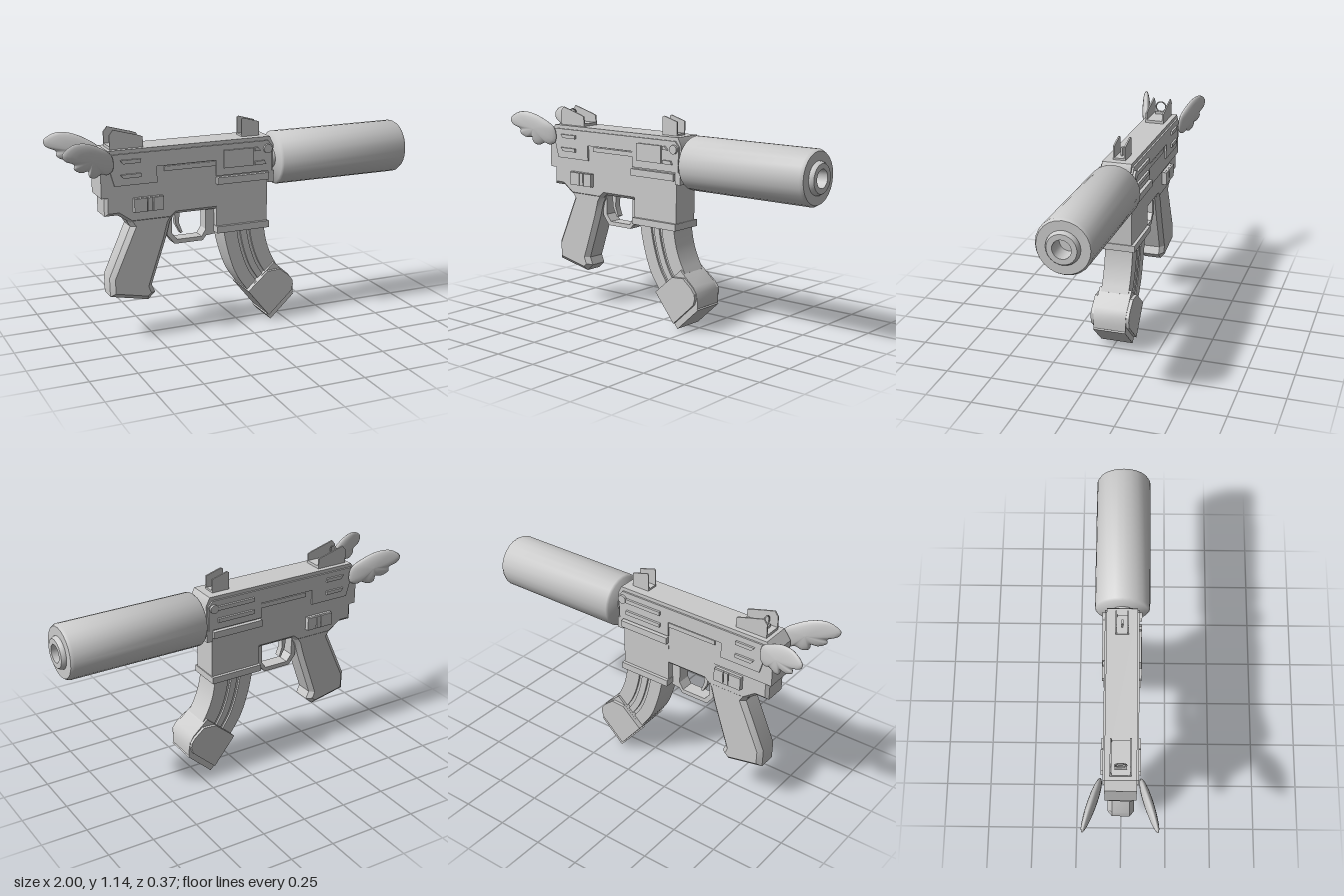
import * as THREE from 'three';
import { toCreasedNormals } from 'three/addons/utils/BufferGeometryUtils.js';

const material = new THREE.MeshStandardMaterial({ color: 0xcccccc });

export function createModel() {
  const model = new THREE.Group();

  const add = (name, geometry) => {
    const mesh = new THREE.Mesh(geometry, material);
    mesh.name = name;
    model.add(mesh);
  };
  const toShape = (pts) => new THREE.Shape(pts.map(([x, y]) => new THREE.Vector2(x, y)));

  // Side profile extruded from z0 to z1, with an optional chamfer cut into it
  const slab = (name, pts, z0, z1, chamfer = 0, hole = null) => {
    const shape = toShape(pts);
    if (hole) shape.holes.push(toShape(hole));
    const geo = new THREE.ExtrudeGeometry(shape, {
      depth: z1 - z0 - 2 * chamfer, bevelEnabled: chamfer > 0, bevelSegments: 1,
      bevelSize: chamfer, bevelThickness: chamfer, bevelOffset: -chamfer,
    });
    geo.translate(0, 0, z0 + chamfer);
    add(name, toCreasedNormals(geo, 0.5));
  };
  const rect = (x0, y0, x1, y1) => [[x0, y0], [x1, y0], [x1, y1], [x0, y1]];
  const box = (name, x0, x1, y0, y1, z0, z1) => {
    const geo = new THREE.BoxGeometry(x1 - x0, y1 - y0, z1 - z0);
    geo.translate((x0 + x1) / 2, (y0 + y1) / 2, (z0 + z1) / 2);
    add(name, geo);
  };
  // Lathe profile of [radius, x] points turned about the barrel axis
  const turned = (name, pts) => {
    const geo = new THREE.LatheGeometry(pts.map(([r, x]) => new THREE.Vector2(r, x)), 24);
    geo.rotateZ(-Math.PI / 2);
    geo.translate(0, 0.898, 0);
    add(name, toCreasedNormals(geo, 0.95));
  };

  // Receiver
  slab('upperReceiver', [[-0.78, 0.79], [0.18, 0.785], [0.185, 0.99], [0.163, 1.035], [-0.74, 1.035], [-0.78, 0.98]], -0.08, 0.08);
  slab('lowerReceiver', [[-0.76, 0.69], [-0.69, 0.69], [-0.62, 0.64], [-0.40, 0.64], [-0.37, 0.665], [-0.1, 0.665],
    [-0.1, 0.86], [-0.76, 0.86]], -0.075, 0.075, 0.016);

  // Barrel and suppressor
  turned('barrel', [[0, 0.15], [0.055, 0.15], [0.055, 0.22], [0, 0.22]]);
  turned('suppressor', [[0, 0.21], [0.135, 0.21], [0.145, 0.222], [0.145, 0.96], [0.135, 0.977], [0.087, 0.977],
    [0.085, 0.986], [0.076, 1.0], [0.048, 1.0], [0.048, 0.9], [0, 0.9]]);

  // Details repeated on both sides
  for (const s of [1, -1]) {
    const side = s > 0 ? 'left' : 'right';
    const plate = (name, pts, a, b) => slab(side + name, pts, Math.min(s * a, s * b), Math.max(s * a, s * b));
    plate('UpperPlate', [[-0.745, 0.975], [-0.71, 0.85], [-0.48, 0.85], [-0.48, 0.935], [-0.15, 0.935],
      [-0.15, 0.85], [0.17, 0.85], [0.175, 0.985], [0.15, 1.015], [-0.735, 1.015]], 0.07, 0.089);
    plate('SlideSlot', rect(-0.44, 0.905, -0.15, 0.93), 0.07, 0.087);
    for (const y of [0.89, 0.965]) {
      plate('RearRib', [[-0.68, y + 0.02], [-0.665, y], [-0.57, y], [-0.57, y + 0.02]], 0.08, 0.1);
    }
    plate('MagazineWellRail', rect(-0.148, 0.805, 0.15, 0.843), 0.06, 0.103);
    plate('SelectorBase', rect(-0.61, 0.703, -0.45, 0.778), 0.06, 0.09);
    for (const [x, w] of [[-0.61, 0.07], [-0.535, 0.025], [-0.505, 0.055]]) {
      plate('Selector', rect(x, 0.705, x + w, 0.776), 0.06, 0.101);
    }
    plate('FrontRail', rect(0.15, 0.785, 0.185, 0.85), 0.05, 0.088);

    const pin = new THREE.CylinderGeometry(0.024, 0.024, 0.02, 20);
    pin.rotateX(Math.PI / 2);
    pin.translate(0.145, 0.972, s * 0.092);
    add(side + 'Pin', pin);
  }

  // Ejection port on the left, long ribs on the right
  slab('ejectionPort', rect(-0.11, 0.89, 0.06, 0.985), 0.08, 0.1);
  slab('upperNotch', [[0.07, 0.965], [0.105, 0.965], [0.085, 0.985], [0.07, 0.985]], 0.08, 0.1);
  slab('lowerNotch', [[0.07, 0.89], [0.135, 0.89], [0.125, 0.91], [0.07, 0.91]], 0.08, 0.1);
  for (const y of [0.89, 0.96]) slab('longRib', rect(-0.1, y, 0.12, y + 0.022), -0.101, -0.08);

  // Grip with chamfered edges
  slab('grip', [[-0.68, 0.72], [-0.62, 0.62], [-0.74, 0.35], [-0.738, 0.248], [-0.53, 0.205], [-0.49, 0.242],
    [-0.508, 0.285], [-0.425, 0.53], [-0.40, 0.62], [-0.34, 0.72]], -0.072, 0.072, 0.024);

  // Trigger and guard
  slab('triggerGuard', [[-0.415, 0.68], [-0.41, 0.54], [-0.37, 0.49], [-0.21, 0.49], [-0.19, 0.515], [-0.14, 0.52],
    [-0.14, 0.68]], -0.038, 0.038, 0,
  [[-0.385, 0.672], [-0.192, 0.672], [-0.192, 0.55], [-0.215, 0.513], [-0.355, 0.513], [-0.385, 0.55]]);
  slab('trigger', [[-0.365, 0.68], [-0.355, 0.59], [-0.328, 0.538], [-0.318, 0.545], [-0.338, 0.6], [-0.33, 0.68]], -0.018, 0.018);

  // Magazine well
  box('magazineWell', -0.145, 0.15, 0.55, 0.84, -0.077, 0.077);
  box('magazineWellLip', -0.148, 0.155, 0.535, 0.572, -0.094, 0.094);

  // Curved magazine: bands between a rear and a front edge curve
  const curve = (pts) => new THREE.CatmullRomCurve3(pts.map(([x, y]) => new THREE.Vector3(x, y, 0)));
  const rear = curve([[-0.1, 0.56], [-0.1, 0.525], [-0.075, 0.41], [-0.03, 0.285], [0.04, 0.18]]);
  const front = curve([[0.135, 0.56], [0.135, 0.525], [0.15, 0.445], [0.178, 0.37], [0.21, 0.31]]);
  const band = (a, b) => {
    const edge = (k) => Array.from({ length: 15 }, (_, i) => {
      const p = rear.getPoint(i / 14).lerp(front.getPoint(i / 14), k);
      return [p.x, p.y];
    });
    return [...edge(a), ...edge(b).reverse()];
  };
  slab('magazine', band(0, 1), -0.066, 0.066);
  for (const [a, b] of [[0, 0.32], [0.4, 0.56], [0.64, 1]]) slab('magazineRib', band(a, b), -0.077, 0.077);

  // Magazine base, rounded towards the front
  slab('magazineBase', [[0.03, 0.185], [0.158, 0.035], [0.306, 0.135], [0.306, 0.17], [0.299, 0.215], [0.278, 0.248], [0.19, 0.327]], -0.09, 0.09);
  slab('magazineBaseCheeks', [[0.03, 0.185], [0.155, 0.03], [0.29, 0.155], [0.3, 0.19], [0.297, 0.216], [0.275, 0.245],
    [0.22, 0.29], [0.145, 0.285]], -0.107, 0.107);
  slab('magazineFloorPlate', [[0.145, 0.03], [0.172, 0], [0.31, 0.128], [0.282, 0.155]], -0.09, 0.09);

  // Sights
  for (const s of [1, -1]) {
    const zr = s * 0.049, zf = s * 0.03;
    slab('rearSightWall', [[-0.72, 1.03], [-0.54, 1.03], [-0.542, 1.09], [-0.57, 1.1], [-0.7, 1.136], [-0.72, 1.11]], zr - 0.004, zr + 0.004);
    slab('frontSightWall', [[0.02, 1.03], [0.12, 1.03], [0.12, 1.11], [0.03, 1.136], [0.02, 1.13]], zf - 0.004, zf + 0.004);
  }
  box('rearSightBase', -0.72, -0.54, 1.03, 1.05, -0.05, 0.05);
  box('frontSightBase', 0.02, 0.12, 1.03, 1.045, -0.03, 0.03);
  box('frontSightPost', 0.055, 0.08, 1.04, 1.09, -0.005, 0.005);
  const ring = new THREE.TorusGeometry(0.029, 0.004, 8, 28);
  ring.rotateY(Math.PI / 2);
  ring.translate(-0.68, 1.092, 0);
  add('rearSightRing', ring);
  box('rearSightStem', -0.69, -0.67, 1.04, 1.065, -0.03, 0.03);

  // Wings: feathered outline shrunk in rings and puffed outward, swept away from the body
  const outline = new THREE.CatmullRomCurve3([
    [-0.72, 0.94], [-0.725, 1.015], [-0.79, 1.065], [-0.875, 1.1], [-0.945, 1.1], [-1, 1.062], [-0.99, 1.03], [-0.938, 1.002],
    [-0.94, 0.98], [-0.9, 0.955], [-0.862, 0.957], [-0.855, 0.927], [-0.825, 0.915], [-0.785, 0.93], [-0.755, 0.92],
  ].map(([x, y]) => new THREE.Vector3(x, y, 0)), true).getPoints(60).slice(0, 60);
  const wing = (s) => {
    const rings = 12, n = outline.length, pos = [], idx = [];
    for (let j = 0; j <= rings; j++) {
      const a = Math.PI * j / rings, k = Math.max(Math.sin(a), 0.001);
      for (const p of outline) {
        const x = -0.84 + (p.x + 0.84) * k, y = 1.01 + (p.y - 1.01) * k;
        pos.push(x, y, s * (0.1 + (-0.72 - x) * 0.29 + 0.024 * Math.cos(a)));
      }
    }
    for (let j = 0; j < rings; j++) {
      for (let i = 0; i < n; i++) {
        const a = j * n + i, b = j * n + (i + 1) % n, c = a + n, d = b + n;
        // the mirrored wing flips the order of corners
        if (s > 0) idx.push(a, c, b, b, c, d);
        else idx.push(a, b, c, b, d, c);
      }
    }
    const geo = new THREE.BufferGeometry();
    geo.setAttribute('position', new THREE.Float32BufferAttribute(pos, 3));
    geo.setIndex(idx);
    geo.computeVertexNormals();
    return geo;
  };
  add('leftWing', wing(1));
  add('rightWing', wing(-1));

  return model;
}
